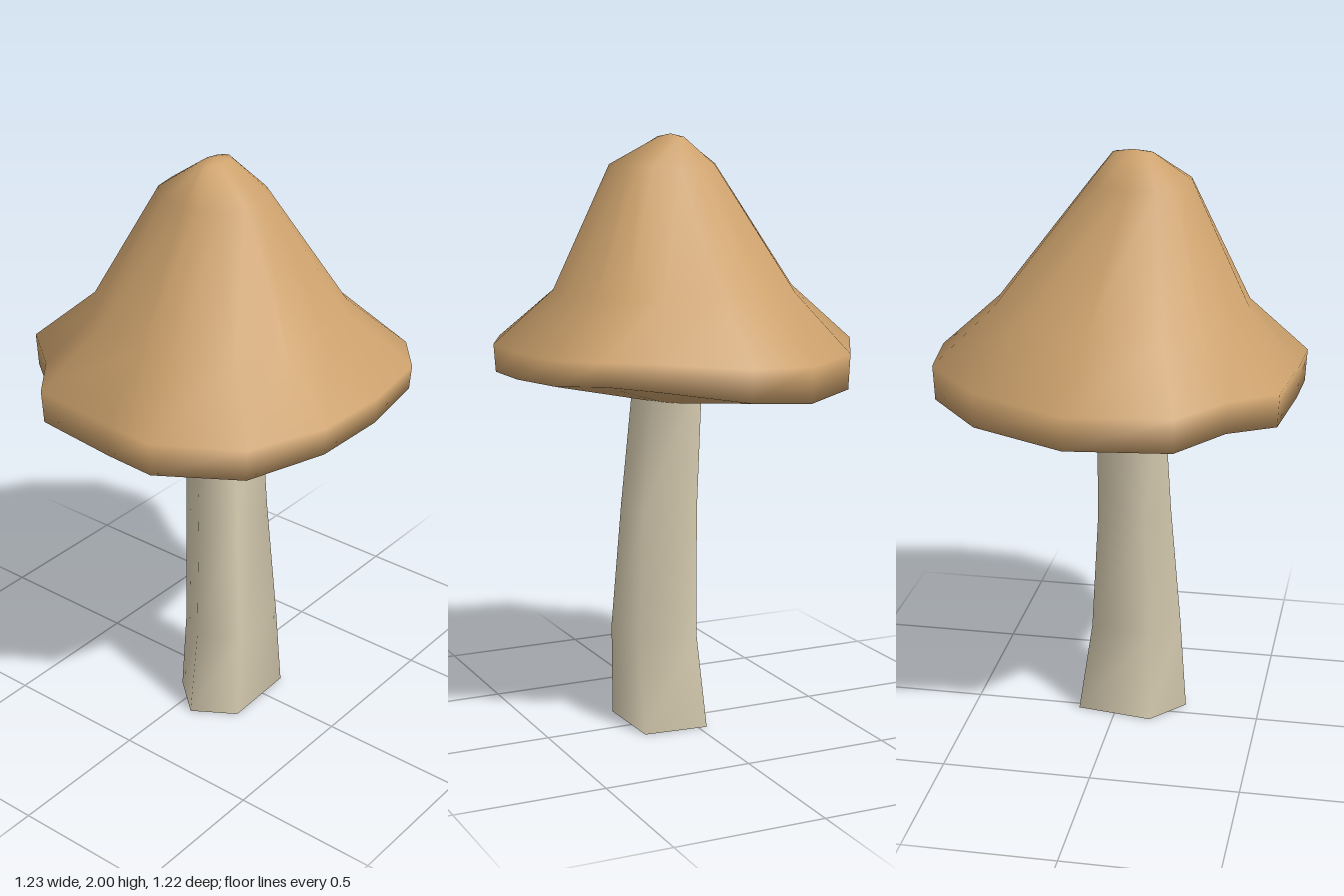
import * as THREE from 'three';

// Skin a stack of equal rings (bottom to top); optional poles close the ends.
function loft(rings, bottomPole, topPole) {
  const n = rings[0].length;
  const pos = rings.flat(2);
  const index = [];
  for (let r = 0; r < rings.length - 1; r++) {
    for (let i = 0; i < n; i++) {
      const j = (i + 1) % n;
      const a = r * n + i, b = r * n + j, c = a + n, d = b + n;
      index.push(a, c, b, b, c, d);
    }
  }
  const fan = (pole, start, up) => {
    const p = pos.length / 3;
    pos.push(...pole);
    for (let i = 0; i < n; i++) {
      const a = start + i, b = start + (i + 1) % n;
      if (up) index.push(a, p, b);
      else index.push(a, b, p);
    }
  };
  if (bottomPole) fan(bottomPole, 0, false);
  if (topPole) fan(topPole, (rings.length - 1) * n, true);
  const g = new THREE.BufferGeometry();
  g.setAttribute('position', new THREE.Float32BufferAttribute(pos, 3));
  g.setIndex(index);
  g.computeVertexNormals();
  return g;
}

// Cap rim: x, z, lower edge height
const RIM = [
  [0.06, -0.61, 1.19], [0.39, -0.42, 1.18], [0.585, -0.175, 1.18], [0.61, 0.05, 1.20],
  [0.46, 0.30, 1.23], [0.41, 0.46, 1.25], [0.28, 0.57, 1.24], [0.03, 0.605, 1.23],
  [-0.22, 0.59, 1.22], [-0.47, 0.48, 1.20], [-0.615, 0.22, 1.19], [-0.605, 0.04, 1.19],
  [-0.57, -0.27, 1.19], [-0.42, -0.39, 1.20], [-0.28, -0.57, 1.19],
];

// Ring that follows the rim, rounded towards a circle by `round`
function capRing(y, sx, sz, cx, cz, round) {
  return RIM.map(([x, z]) => {
    const k = 1 + round * (0.61 / Math.hypot(x, z) - 1);
    return [cx + x * k * sx, y, cz + z * k * sz];
  });
}

function capGeometry() {
  const rings = [
    capRing(1.115, 0.16, 0.16, -0.04, 0, 1),
    RIM.map(([x, z, y]) => [x * 0.99, y, z * 0.99]),
    RIM.map(([x, z, y]) => [x, 1.305 + (y - 1.2) * 0.4, z]),
    capRing(1.49, 0.69, 0.67, -0.015, 0.01, 0.6),
    capRing(1.9, 0.27, 0.30, -0.075, 0.035, 1),
    capRing(1.99, 0.11, 0.06, -0.05, 0.02, 1),
  ];
  return loft(rings, [-0.04, 1.11, 0], [-0.05, 2, 0.02]);
}

// Five-sided stem: one section fitted into changing bounds
function stemGeometry() {
  const section = [[1, 0.15], [0.95, 0.97], [0.24, 1], [0, 0.48], [0.3, 0]];
  const bounds = [ // y, xMin, xMax, zMin, zMax
    [0, -0.24, 0.13, -0.07, 0.2],
    [0.32, -0.215, 0.085, -0.05, 0.205],
    [0.75, -0.18, 0.06, -0.06, 0.175],
    [1.2, -0.155, 0.06, -0.075, 0.135],
  ];
  return loft(bounds.map(([y, x0, x1, z0, z1]) =>
    section.map(([u, v]) => [x0 + u * (x1 - x0), y, z0 + v * (z1 - z0)])));
}

export function createModel() {
  const capTan = new THREE.MeshStandardMaterial({ color: 0xcda26d });
  capTan.name = 'cap tan';
  const stemCream = new THREE.MeshStandardMaterial({ color: 0xd6cbb0, side: THREE.DoubleSide });
  stemCream.name = 'stem cream';

  const model = new THREE.Group();
  model.name = 'mushroom';
  const cap = new THREE.Mesh(capGeometry(), capTan);
  cap.name = 'cap';
  const stem = new THREE.Mesh(stemGeometry(), stemCream);
  stem.name = 'stem';
  model.add(cap, stem);
  return model;
}
